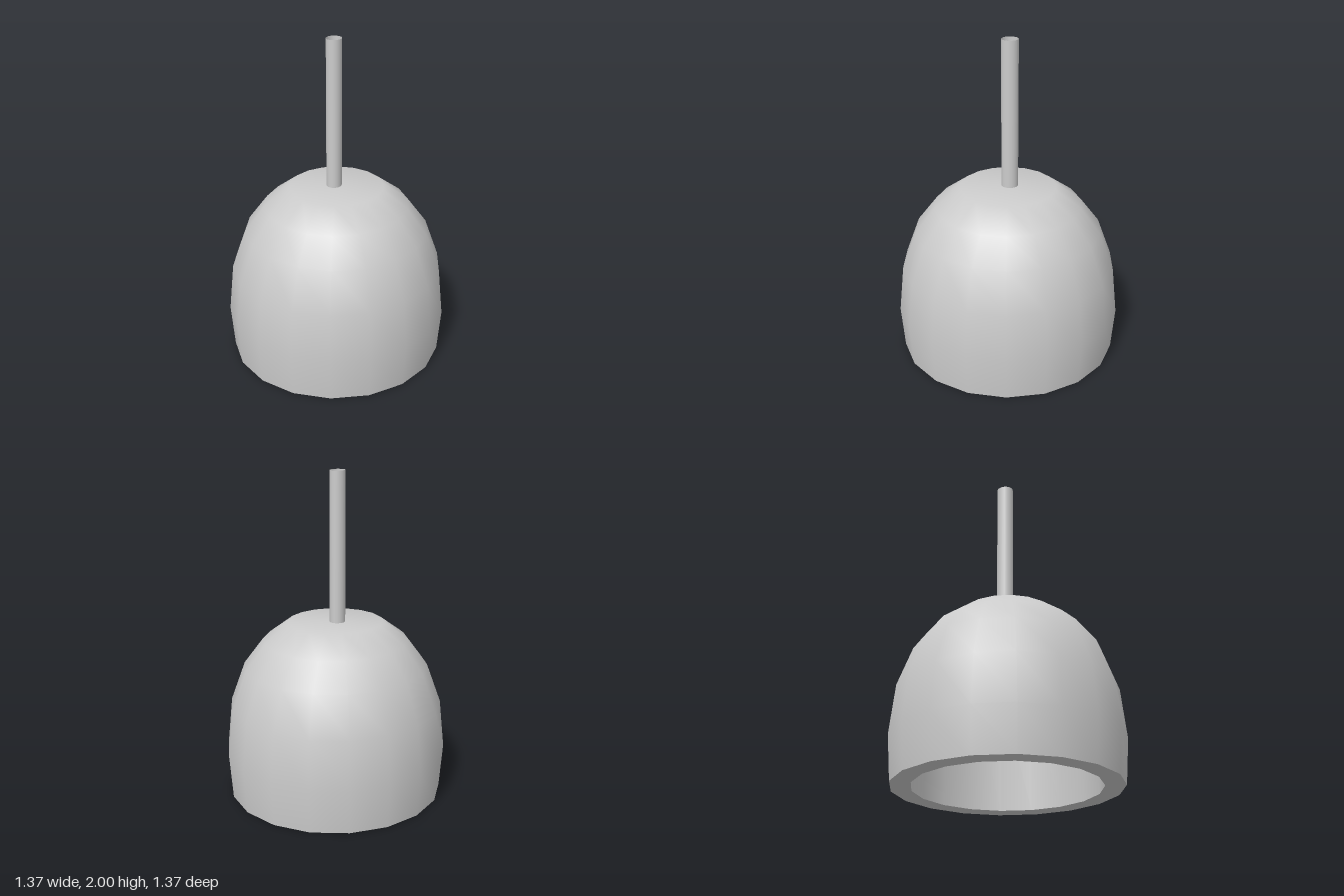
import * as THREE from 'three';

const SIDES = 18;

export function createModel() {
  const group = new THREE.Group();
  const material = new THREE.MeshStandardMaterial({ color: 0xcccccc });

  // Surface turned around y, with a corner on the x axis
  const turn = (name, profile) => {
    const points = profile.map(([r, y]) => new THREE.Vector2(r, y));
    const mesh = new THREE.Mesh(new THREE.LatheGeometry(points, SIDES, Math.PI / 2), material);
    mesh.name = name;
    return mesh;
  };

  // Thick bell-shaped shade with a straight-walled hollow, slightly deeper than wide
  const hollowRadius = 0.543, hollowTop = 0.79;
  const shade = new THREE.Group();
  shade.name = 'shade';
  shade.add(
    turn('shadeOutside', [[0.662, 0], [0.683, 0.27], [0.652, 0.57], [0.565, 0.81], [0.445, 0.97], [0.29, 1.085], [0, 1.085]]),
    turn('hollowWall', [[hollowRadius, hollowTop], [hollowRadius, 0]]),
    turn('hollowCeiling', [[0, hollowTop], [hollowRadius, hollowTop]]),
    turn('shadeRim', [[hollowRadius, 0], [0.662, 0]])
  );
  shade.scale.z = 1.02;
  group.add(shade);

  // Hollow hanging rod, a little off centre
  const rodMaterial = material.clone();
  rodMaterial.side = THREE.DoubleSide;
  const rod = new THREE.Mesh(new THREE.CylinderGeometry(0.049, 0.049, 0.915, SIDES, 1, true), rodMaterial);
  rod.name = 'hangingRod';
  rod.position.set(-0.017, 1.5425, -0.01);
  rod.scale.set(0.96, 1, 1.04);
  group.add(rod);

  return group;
}
